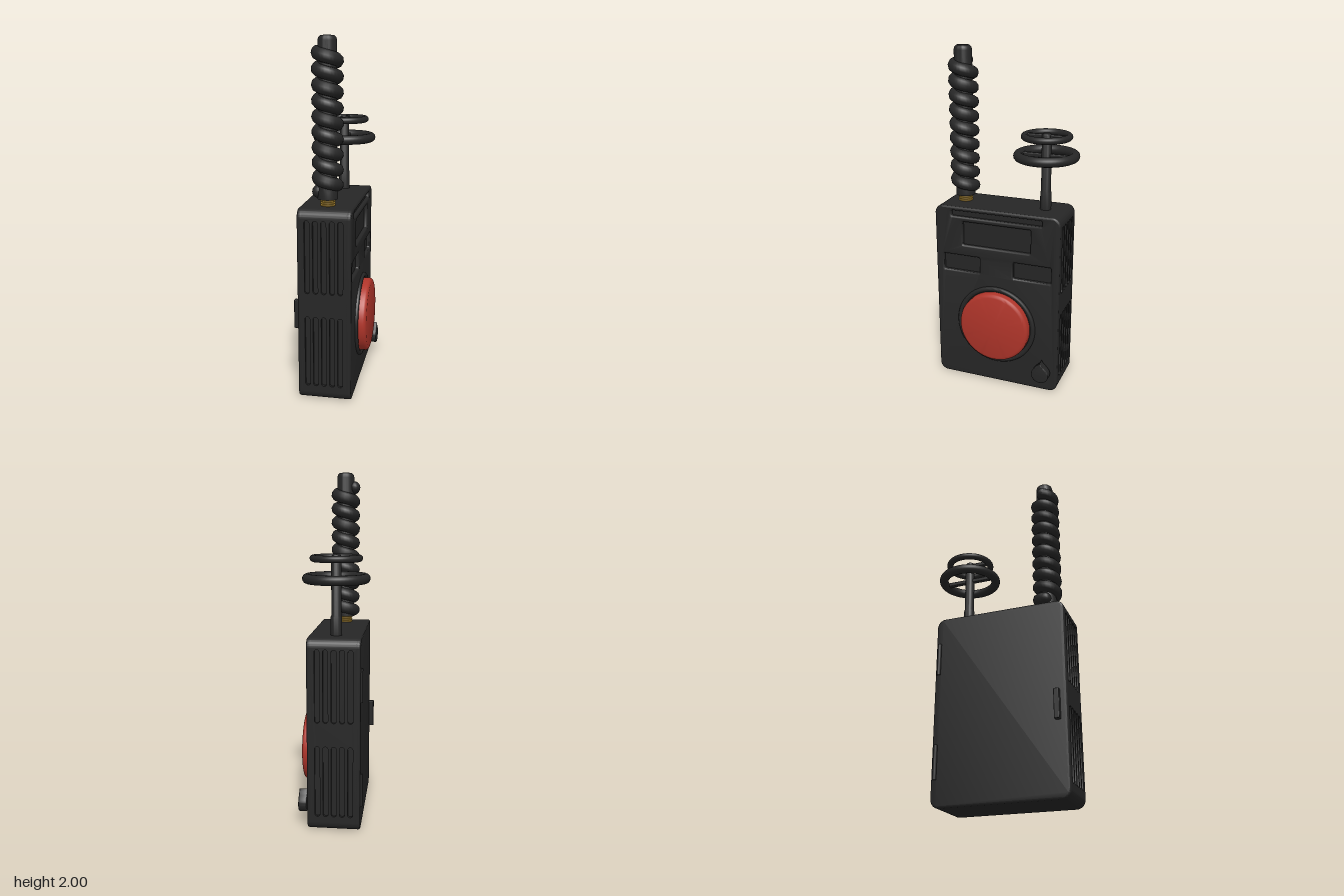
import * as THREE from 'three';
import { toCreasedNormals } from 'three/addons/utils/BufferGeometryUtils.js';
import { RoundedBoxGeometry } from 'three/addons/geometries/RoundedBoxGeometry.js';

const mat = (name, color) => {
  const m = new THREE.MeshStandardMaterial({ color });
  m.name = name;
  return m;
};

// rounded rectangle outline, corners given by min/max
function roundRect(Type, x0, y0, x1, y1, r) {
  const p = new Type();
  p.moveTo(x0 + r, y0);
  p.lineTo(x1 - r, y0);
  p.absarc(x1 - r, y0 + r, r, -Math.PI / 2, 0);
  p.lineTo(x1, y1 - r);
  p.absarc(x1 - r, y1 - r, r, 0, Math.PI / 2);
  p.lineTo(x0 + r, y1);
  p.absarc(x0 + r, y1 - r, r, Math.PI / 2, Math.PI);
  p.lineTo(x0, y0 + r);
  p.absarc(x0 + r, y0 + r, r, Math.PI, Math.PI * 1.5);
  return p;
}

function extrude(shape, depth, bevel = 0) {
  const g = new THREE.ExtrudeGeometry(shape, {
    depth: depth - 2 * bevel, curveSegments: 10, bevelEnabled: bevel > 0,
    bevelThickness: bevel, bevelSize: bevel, bevelOffset: -bevel, bevelSegments: 3,
  });
  g.translate(0, 0, bevel);
  return toCreasedNormals(g, 0.6);
}

// side profile drawn in (-z, y), extruded from x0 to x1
const sideways = (shape, x0, x1, bevel) =>
  extrude(shape, x1 - x0, bevel).rotateY(Math.PI / 2).translate(x0, 0, 0);

const lathe = (pts, seg = 48) => toCreasedNormals(
  new THREE.LatheGeometry(pts.map(([x, y]) => new THREE.Vector2(x, y)), seg), 0.7);

export function createModel() {
  const model = new THREE.Group();
  model.name = 'handheldDevice';
  const black = mat('blackPlastic', 0x262626);
  const red = mat('redButton', 0xb0352a);
  const brass = mat('brass', 0xb08a30);

  const add = (name, geo, material, parent = model, x = 0, y = 0, z = 0) => {
    const m = new THREE.Mesh(geo, material);
    m.name = name;
    m.position.set(x, y, z);
    parent.add(m);
    return m;
  };

  // ---- case: core with shallow end notches, two side covers, two vent plates
  const body = new THREE.Group();
  body.name = 'case';
  model.add(body);
  const U0 = -0.408, U1 = 0.36, H = 1.1, R = 0.05, D = 0.015;
  const core = new THREE.Shape();
  core.moveTo(U0 + R, 0);
  core.lineTo(U1 - R, 0);
  core.absarc(U1 - R, R, R, -Math.PI / 2, 0);
  core.lineTo(U1 - D, R);
  core.lineTo(U1 - D, H - R);
  core.lineTo(U1, H - R);
  core.absarc(U1 - R, H - R, R, 0, Math.PI / 2);
  core.lineTo(U0 + R, H);
  core.absarc(U0 + R, H - R, R, Math.PI / 2, Math.PI);
  core.lineTo(U0 + D, H - R);
  core.lineTo(U0 + D, R);
  core.lineTo(U0, R);
  core.absarc(U0 + R, R, R, Math.PI, Math.PI * 1.5);
  add('caseCore', sideways(core, -0.14, 0.116, 0), black, body);
  add('plainCover', sideways(roundRect(THREE.Shape, U0, 0, U1, H, R), -0.16, -0.124, 0.01), black, body);

  // cover with recessed panels
  const cover = roundRect(THREE.Shape, U0, 0, U1, H, R);
  [[-0.305, 1.04, 0.252, 1.075], [-0.235, 0.867, 0.185, 1.012],
   [-0.36, 0.7, -0.13, 0.8], [0.08, 0.7, 0.31, 0.8]].forEach(([a, b, c, d]) =>
    cover.holes.push(roundRect(THREE.Path, a, b, c, d, 0.008)));
  add('panelCover', sideways(cover, 0.102, 0.138, 0.01), black, body);

  // slotted vent plates at front and back
  const vents = roundRect(THREE.Shape, -0.14, R, 0.116, H - R, 0.0005);
  for (const [y0, y1] of [[0.085, 0.495], [0.63, 1.04]])
    for (let i = 0; i < 5; i++) {
      const x = -0.105 + i * 0.046;
      vents.holes.push(roundRect(THREE.Path, x - 0.014, y0, x + 0.014, y1, 0.0135));
    }
  const plate = extrude(vents, D);
  add('frontVents', plate, black, body, 0, 0, -U0 - D);
  add('backVents', plate, black, body, 0, 0, -U1);

  // ---- big round button in its collar
  const button = new THREE.Group();
  button.name = 'roundButton';
  button.position.set(0.138, 0.385, 0.025);
  button.rotation.z = -Math.PI / 2;
  model.add(button);
  add('buttonCollar', lathe([[0.246, -0.005], [0.246, 0.008], [0.241, 0.014], [0.232, 0.016],
    [0.223, 0.013], [0.218, 0.006], [0, 0.006]], 64), black, button);
  add('buttonCap', lathe([[0.215, 0], [0.215, 0.04], [0.212, 0.048], [0.205, 0.054],
    [0.195, 0.057], [0, 0.057]], 64), red, button);

  // ---- teardrop knob
  const drop = new THREE.Shape();
  drop.moveTo(0, 0.075);
  drop.bezierCurveTo(-0.012, 0.045, -0.053, 0.03, -0.053, -0.005);
  drop.absarc(0, -0.005, 0.053, Math.PI, Math.PI * 2);
  drop.bezierCurveTo(0.053, 0.03, 0.012, 0.045, 0, 0.075);
  add('teardropKnob', sideways(drop, 0.148, 0.196, 0.006), black, model, 0, 0.135, -0.27);
  add('knobShaft', new THREE.CylinderGeometry(0.02, 0.02, 0.03, 20).rotateZ(Math.PI / 2),
    black, model, 0.143, 0.135, -0.27);

  // ---- hinges and latch on the plain side
  for (const y of [0.245, 0.845])
    add('hinge', new THREE.CylinderGeometry(0.012, 0.012, 0.19, 16), black, model, -0.16, y, -0.34);
  add('latch', new RoundedBoxGeometry(0.04, 0.165, 0.03, 2, 0.005), black, model, -0.17, 0.49, 0.355);

  // ---- coiled aerial
  const aerial = new THREE.Group();
  aerial.name = 'aerial';
  aerial.position.set(-0.014, 0, 0.276);
  model.add(aerial);
  add('aerialBase', new THREE.CylinderGeometry(0.036, 0.036, 0.06, 24), brass, aerial, 0, 1.12, 0);
  for (const y of [1.104, 1.116, 1.128])
    add('baseThread', new THREE.TorusGeometry(0.037, 0.005, 8, 28).rotateX(Math.PI / 2), brass, aerial, 0, y, 0);
  add('aerialCore', lathe([[0, 1.137], [0.056, 1.137], [0.056, 1.18], [0.051, 1.2], [0.051, 1.975],
    [0.047, 1.99], [0.036, 2], [0, 2]], 32), black, aerial);
  const TURNS = 9, coil = [];
  for (let i = 0; i <= TURNS * 16; i++) {
    const t = i / (TURNS * 16), a = Math.PI + t * TURNS * Math.PI * 2;
    coil.push(new THREE.Vector3(0.051 * Math.cos(a), 1.915 - 0.74 * t, 0.051 * Math.sin(-a + Math.PI * 2) * -1));
  }
  const coilCurve = new THREE.CatmullRomCurve3(coil.map(p => new THREE.Vector3(p.x, p.y, -p.z)));
  add('coil', new THREE.TubeGeometry(coilCurve, TURNS * 28, 0.036, 10), black, aerial);
  for (const p of [coilCurve.getPoint(0), coilCurve.getPoint(1)])
    add('coilEnd', new THREE.SphereGeometry(0.036, 14, 10), black, aerial, p.x, p.y, p.z);

  // ---- stem with two hand wheels
  const wheels = new THREE.Group();
  wheels.name = 'handWheels';
  wheels.position.set(-0.013, 0, -0.224);
  model.add(wheels);
  add('stem', lathe([[0, 1.09], [0.032, 1.09], [0.032, 1.2], [0.028, 1.21], [0.028, 1.53],
    [0.022, 1.54], [0, 1.543]], 24), black, wheels);
  for (const [name, y, r, tube] of [['lowerWheel', 1.413, 0.16, 0.027], ['upperWheel', 1.522, 0.126, 0.019]]) {
    add(name + 'Rim', new THREE.TorusGeometry(r, tube, 14, 56).rotateX(Math.PI / 2), black, wheels, 0, y, 0);
    add(name + 'Spokes', new RoundedBoxGeometry(0.028, 0.024, 2 * r, 2, 0.006), black, wheels, 0, y, 0);
  }
  return model;
}
